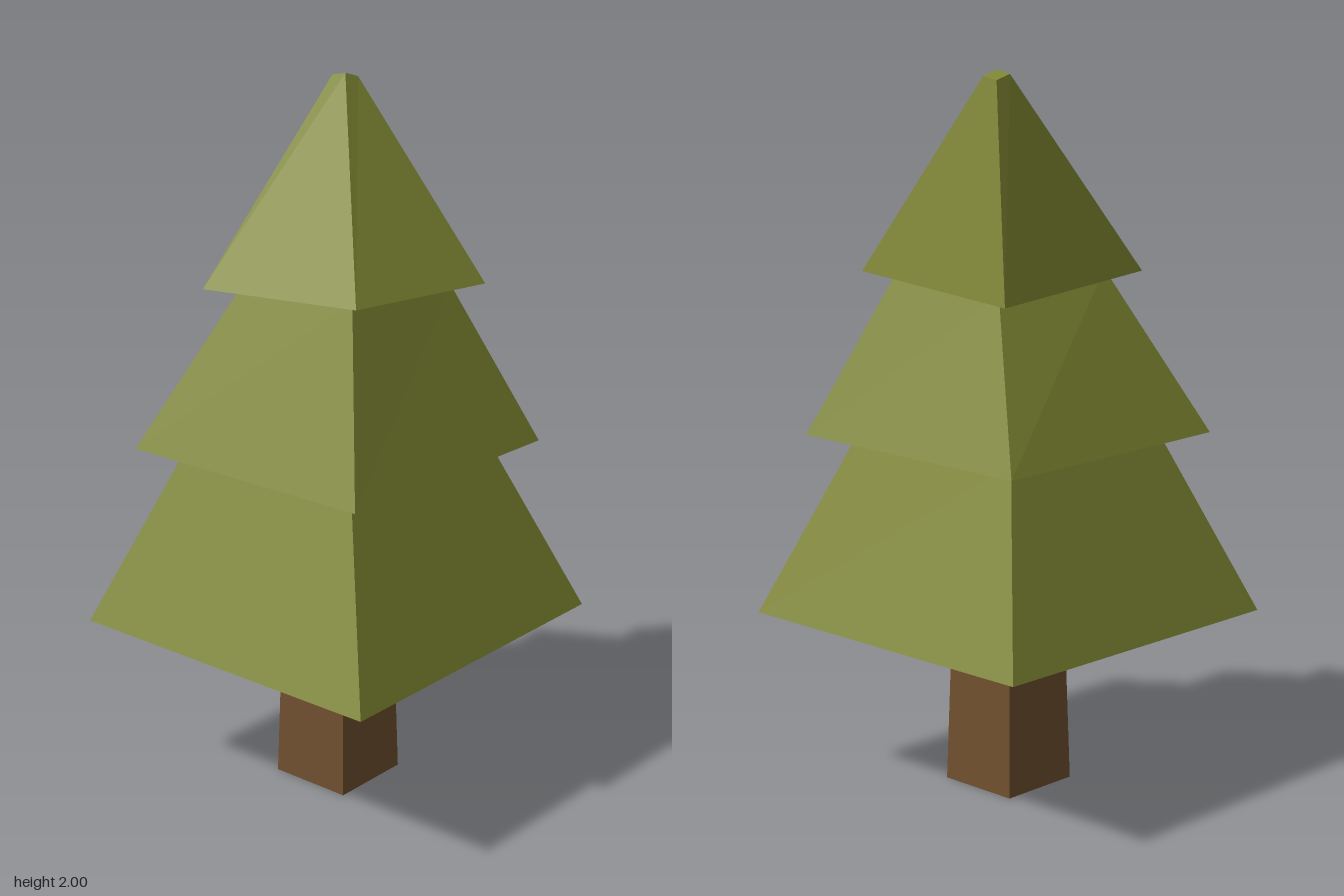
import * as THREE from 'three';

const material = (name, color) => {
  const m = new THREE.MeshStandardMaterial({ color });
  m.name = name;
  return m;
};

// Square ring, turned about the vertical axis; corners run clockwise from above
const square = (r, y) => [[0.37, -1], [1, 0.37], [-0.37, 1], [-1, -0.37]].map(([x, z]) => [x * r, y, z * r]);

// Flat-faced geometry from a list of four-cornered faces
function faces(quads) {
  const pos = quads.flatMap(([a, b, c, d]) => [a, b, c, a, c, d]).flat();
  const g = new THREE.BufferGeometry();
  g.setAttribute('position', new THREE.Float32BufferAttribute(pos, 3));
  g.computeVertexNormals();
  return g;
}

// Four side faces joining a lower ring to an upper one
const band = (lo, hi) => lo.map((_, i) => {
  const j = (i + 1) % 4;
  return [lo[j], lo[i], hi[i], hi[j]];
});
const topCap = (ring) => [...ring].reverse();

export function createModel() {
  const tree = new THREE.Group();
  tree.name = 'tree';
  const leaf = material('olive leaf', 0x7f8632);
  const under = material('underside green', 0x6a8c34);
  const bark = material('bark brown', 0x70502f);
  const cutWood = material('cut wood', 0x83705a);

  const add = (name, quads, mat) => {
    const mesh = new THREE.Mesh(faces(quads), mat);
    mesh.name = name;
    tree.add(mesh);
  };

  // Trunk, slightly tapered
  const trunkFoot = square(0.164, 0), trunkHead = square(0.147, 0.5);
  add('trunk', band(trunkFoot, trunkHead), bark);
  add('trunkBase', [trunkFoot], cutWood);

  // Foliage rings, leaning more towards the tip
  const skirt = square(0.657, 0.49);
  const lowerTop = square(0.39, 1.0);
  const middleSkirt = [[0.19, 0.985, -0.51], [0.52, 0.995, 0.205], [-0.2, 1.007, 0.53], [-0.525, 1.0, -0.19]];
  const middleTop = [[0.12, 1.42, -0.24], [0.28, 1.45, 0.12], [-0.09, 1.485, 0.28], [-0.25, 1.455, -0.08]];
  const upperSkirt = [[0.14, 1.4, -0.335], [0.37, 1.45, 0.15], [-0.12, 1.49, 0.365], [-0.345, 1.45, -0.12]];
  const tip = [[0.105, 1.975, -0.185], [0.125, 1.985, -0.14], [0.08, 2.0, -0.125], [0.06, 1.99, -0.165]];

  add('lowerFoliage', band(skirt, lowerTop), leaf);
  add('foliageUnderside', [skirt], under);
  add('middleFoliage', [...band(lowerTop, middleSkirt), ...band(middleSkirt, middleTop)], leaf);
  add('upperFoliage', [...band(middleTop, upperSkirt), ...band(upperSkirt, tip), topCap(tip)], leaf);

  return tree;
}
